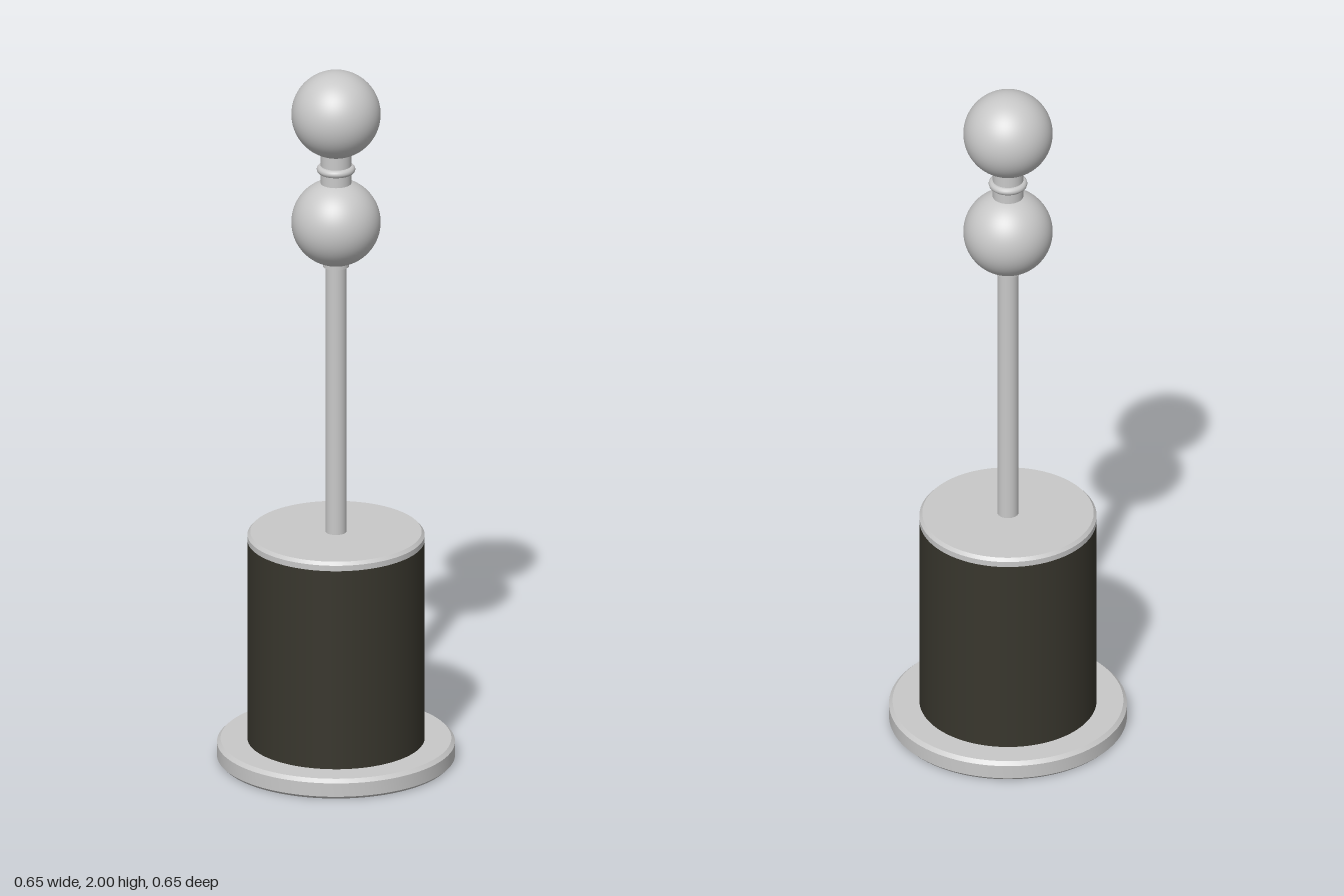
import * as THREE from 'three';
import { toCreasedNormals } from 'three/addons/utils/BufferGeometryUtils.js';

export function createModel() {
  const model = new THREE.Group();
  model.name = 'postWithBalls';
  const metal = new THREE.MeshStandardMaterial({ color: 0xc8c8c8 });
  metal.name = 'light grey metal';
  const dark = new THREE.MeshStandardMaterial({ color: 0x38362d });
  dark.name = 'dark olive';

  const add = (name, geometry, material, y = 0) => {
    const mesh = new THREE.Mesh(geometry, material);
    mesh.name = name;
    mesh.position.y = y;
    model.add(mesh);
  };
  // Turned part from [radius, height] pairs, with crisp edges
  const turned = (points, segments = 64) => toCreasedNormals(
    new THREE.LatheGeometry(points.map(([r, y]) => new THREE.Vector2(r, y)), segments), 0.5);

  // Round foot with bevelled rims
  add('base', turned([[0, 0], [0.317, 0], [0.325, 0.008], [0.325, 0.047], [0.315, 0.057], [0, 0.057]], 96), metal);

  // Dark drum and its bevelled lid
  add('drum', new THREE.CylinderGeometry(0.242, 0.242, 0.578, 96, 1, true), dark, 0.346);
  add('drumLid', turned([[0, 0.635], [0.242, 0.635], [0.242, 0.651], [0.234, 0.66], [0, 0.66]], 96), metal);

  // Slim rod with a small collar under the lower ball
  add('rod', new THREE.CylinderGeometry(0.029, 0.029, 0.82, 32), metal, 1.06);
  add('collar', new THREE.CylinderGeometry(0.036, 0.036, 0.03, 32), metal, 1.45);

  // Two balls joined by a ringed neck
  for (const [name, y] of [['lowerBall', 1.563], ['upperBall', 1.878]]) {
    add(name, new THREE.SphereGeometry(0.122, 64, 40), metal, y);
  }
  add('neck', new THREE.CylinderGeometry(0.042, 0.042, 0.12, 40), metal, 1.72);
  add('neckRing', new THREE.TorusGeometry(0.042, 0.011, 12, 48).rotateX(Math.PI / 2), metal, 1.718);
  return model;
}
